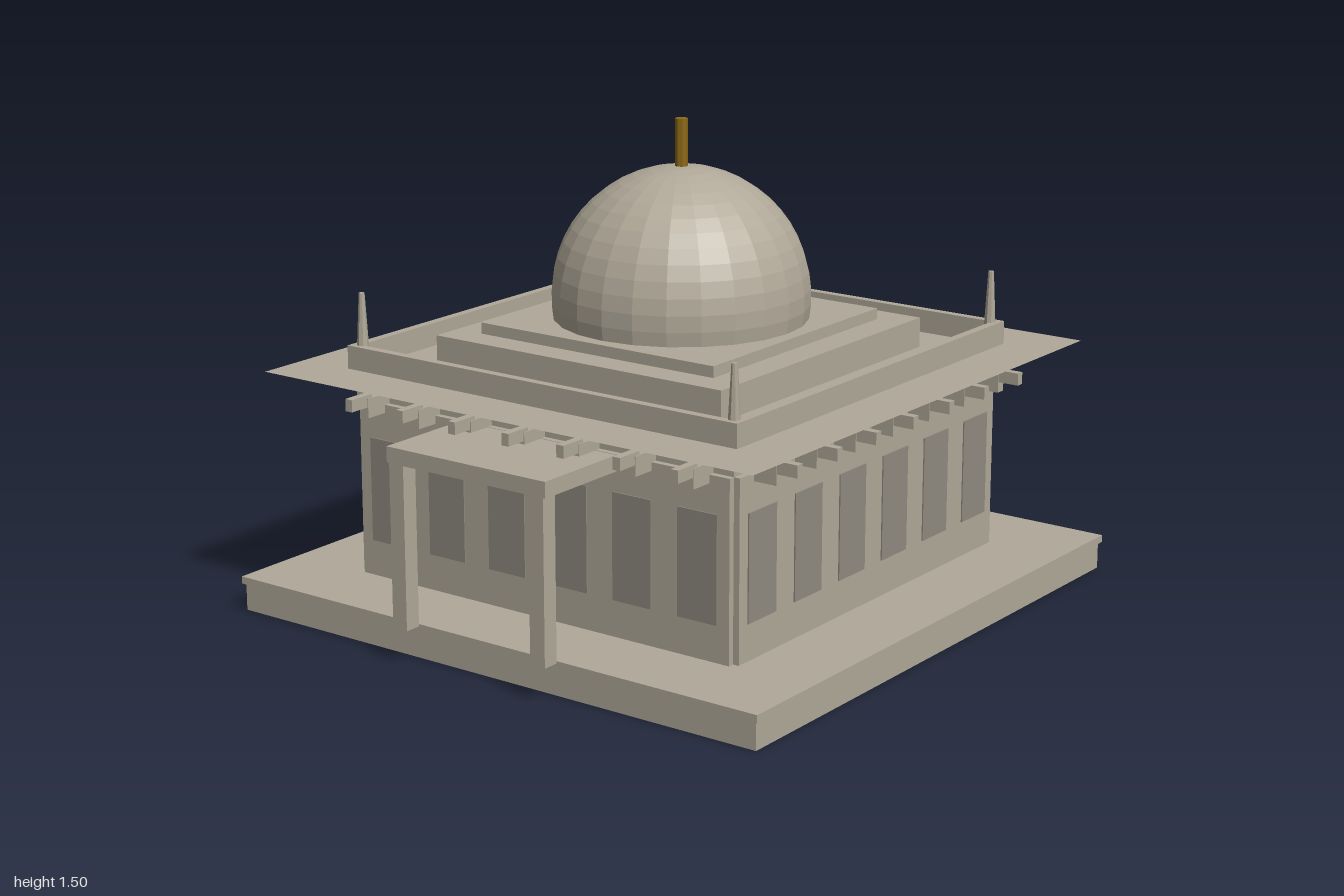
import * as THREE from 'three';

const stone = new THREE.MeshStandardMaterial({ color: 0xb0a898, flatShading: true });
const thinStone = new THREE.MeshStandardMaterial({ color: 0xb0a898, flatShading: true, side: THREE.DoubleSide });
const panel = new THREE.MeshStandardMaterial({ color: 0x8f8a80 });
const brass = new THREE.MeshStandardMaterial({ color: 0x8b6914, flatShading: true });

function add(parent, name, geometry, material, x = 0, y = 0, z = 0) {
  const mesh = new THREE.Mesh(geometry, material);
  mesh.name = name;
  mesh.position.set(x, y, z);
  parent.add(mesh);
  return mesh;
}

// Box given by its size in x and z and its bottom and top heights
function block(parent, name, w, d, y0, y1, x = 0, z = 0, material = stone) {
  return add(parent, name, new THREE.BoxGeometry(w, y1 - y0, d), material, x, (y0 + y1) / 2, z);
}

// Square frustum given by its half widths
function frustum(parent, name, top, bottom, y0, y1, open, material) {
  const s = Math.SQRT2;
  const g = new THREE.CylinderGeometry(top * s, bottom * s, y1 - y0, 4, 1, open);
  g.rotateY(Math.PI / 4);
  return add(parent, name, g, material, 0, (y0 + y1) / 2, 0);
}

// Windows and eave brackets of one side, built facing +z
function createSide() {
  const side = new THREE.Group();
  side.name = 'wallSide';
  for (let i = 0; i < 6; i++) {
    block(side, 'windowPanel', 0.138, 0.01, 0.222, 0.55, (i - 2.5) * 0.232, 0.709, panel);
  }
  for (let i = 0; i < 7; i++) {
    const x = (i - 3) * 0.2015;
    block(side, 'bracketLower', 0.032, 0.1, 0.637, 0.697, x, 0.735);
    block(side, 'bracketUpper', 0.026, 0.09, 0.67, 0.708, x, 0.808);
  }
  return side;
}

export function createModel() {
  const model = new THREE.Group();
  model.name = 'domedPavilion';
  const hall = new THREE.Group();
  hall.name = 'hall';
  hall.position.z = -0.034;
  model.add(hall);

  // Plinth, open underneath
  frustum(hall, 'plinthSkirt', 0.957, 0.957, 0, 0.086, true, thinStone);
  block(hall, 'plinthSlab', 1.932, 1.932, 0.086, 0.109);

  // Walls with notched corners
  block(hall, 'wallsFrontBack', 1.38, 1.42, 0.109, 0.662);
  block(hall, 'wallsLeftRight', 1.42, 1.38, 0.109, 0.662);
  block(hall, 'architrave', 1.38, 1.38, 0.662, 0.704);
  for (let i = 0; i < 4; i++) {
    const side = createSide();
    side.rotation.y = i * Math.PI / 2;
    hall.add(side);
  }

  // Flared eave with a flat top
  frustum(hall, 'eave', 0.9, 0.72, 0.703, 0.757, false, stone);

  // Parapet ring
  for (const s of [-1, 1]) {
    block(hall, 'parapetFrontBack', 1.446, 0.028, 0.757, 0.83, 0, s * 0.709);
    block(hall, 'parapetSide', 0.028, 1.39, 0.757, 0.83, s * 0.709, 0);
  }

  // Corner pinnacles
  for (const sx of [-1, 1]) {
    for (const sz of [-1, 1]) {
      add(hall, 'pinnacle', new THREE.CylinderGeometry(0.009, 0.022, 0.235, 8), stone, sx * 0.69, 0.8745, sz * 0.69);
    }
  }

  // Stepped platform, dome and finial
  block(hall, 'lowerStep', 1.064, 1.064, 0.757, 0.851);
  block(hall, 'upperStep', 0.87, 0.87, 0.851, 0.886);
  add(hall, 'dome', new THREE.SphereGeometry(0.4, 24, 14, 0, Math.PI * 2, 0, Math.PI * 0.56), stone, 0, 0.955, 0);
  add(hall, 'finial', new THREE.CylinderGeometry(0.02, 0.02, 0.16, 8), brass, 0, 1.42, 0);

  // Entrance porch
  block(model, 'porchRoof', 0.586, 0.33, 0.612, 0.661, 0, 0.835);
  for (const s of [-1, 1]) {
    block(model, 'porchPost', 0.053, 0.053, 0.109, 0.612, s * 0.258, 0.973);
  }
  return model;
}
